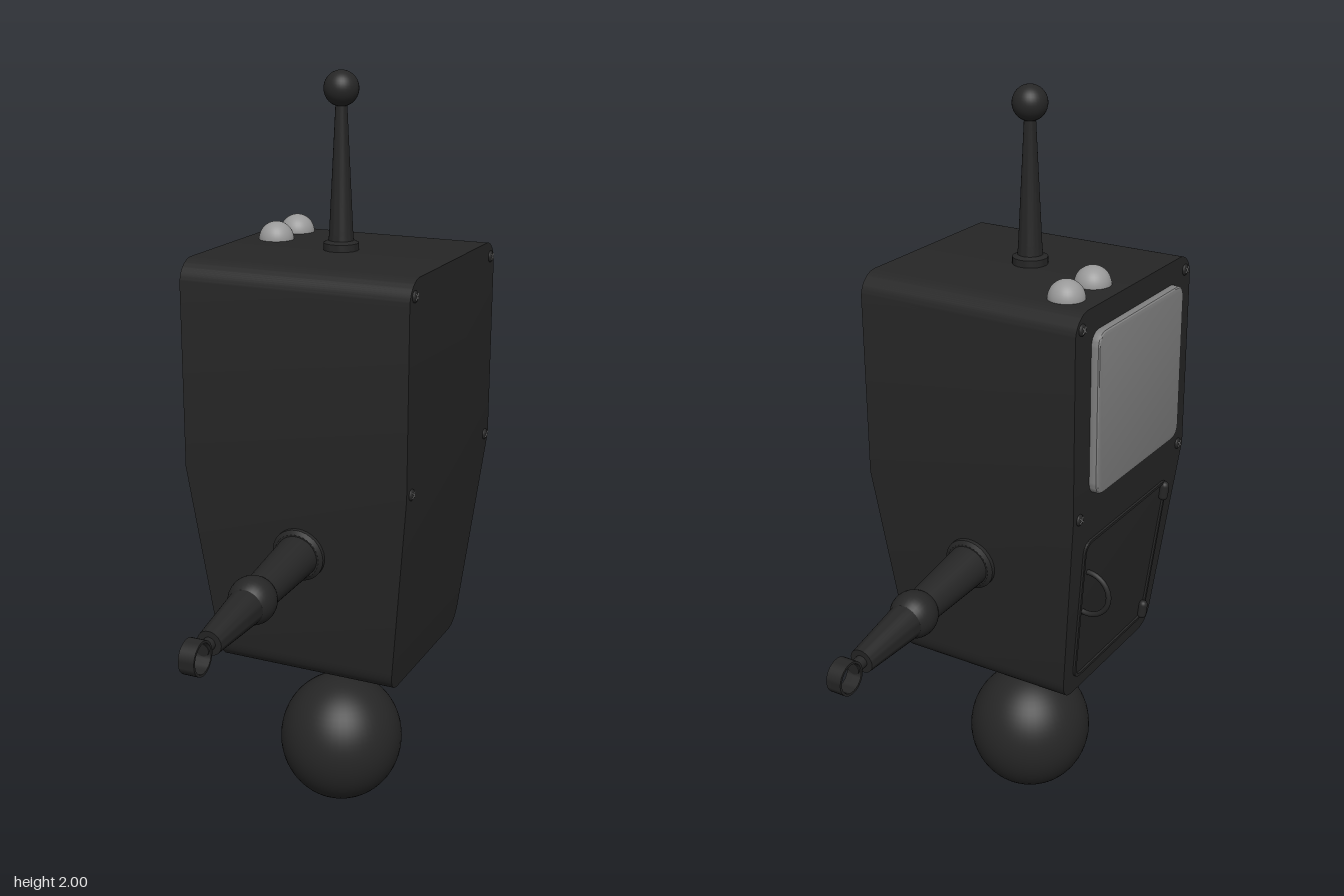
import * as THREE from 'three';
import { toCreasedNormals } from 'three/addons/utils/BufferGeometryUtils.js';

const dark = new THREE.MeshStandardMaterial({ color: 0x262626 });
const darkOpen = new THREE.MeshStandardMaterial({ color: 0x262626, side: THREE.DoubleSide });
const grey = new THREE.MeshStandardMaterial({ color: 0x808080 });
const pale = new THREE.MeshStandardMaterial({ color: 0x999999 });

const CX = 0.018;                      // body centre line
const BOTTOM = 0.475, WAIST = 1.03, TOP = 1.56;
const TILT = Math.atan(0.06 / (WAIST - BOTTOM));
// half width of the body at height y: straight above the waist, tapered below
const halfX = y => 0.243 + 0.06 * Math.min(1, (y - BOTTOM) / (WAIST - BOTTOM));

function add(parent, name, geometry, material, x = 0, y = 0, z = 0) {
  const mesh = new THREE.Mesh(geometry, material);
  mesh.name = name;
  mesh.position.set(x, y, z);
  parent.add(mesh);
  return mesh;
}

function lathe(points, segments = 32) {
  const g = new THREE.LatheGeometry(points.map(p => new THREE.Vector2(p[0], p[1])), segments);
  return toCreasedNormals(g, 0.6);
}

// rounded outline whose bottom may be narrower than its top
function panelShape(wBottom, wTop, h, r, Type = THREE.Shape) {
  const s = new Type();
  const corners = [[-wBottom, -h], [wBottom, -h], [wTop, h], [-wTop, h]].map(c => new THREE.Vector2(...c));
  corners.forEach((c, i) => {
    const a = c.clone().add(corners[(i + 3) % 4].clone().sub(c).setLength(r));
    const b = c.clone().add(corners[(i + 1) % 4].clone().sub(c).setLength(r));
    if (i === 0) s.moveTo(a.x, a.y); else s.lineTo(a.x, a.y);
    s.quadraticCurveTo(c.x, c.y, b.x, b.y);
  });
  s.closePath();
  return s;
}

// body shell: a half profile of (z, y) swept across the tapering width
function bodyGeometry() {
  const path = new THREE.Path();
  path.moveTo(0.185, BOTTOM);
  path.quadraticCurveTo(0.235, BOTTOM, 0.242, 0.535);
  path.lineTo(0.295, WAIST);
  path.lineTo(0.295, 1.5);
  path.absarc(0.235, 1.5, 0.06, 0, Math.PI / 2, false);
  const pts = path.getPoints(10);
  const pos = [];
  const quad = (...q) => {
    for (const s of [1, -1])           // second copy is turned half round
      for (const i of [0, 1, 2, 0, 2, 3]) pos.push(s * q[i][0], q[i][1], s * q[i][2]);
  };
  for (let i = 0; i < pts.length - 1; i++) {
    const { x: z0, y: y0 } = pts[i], { x: z1, y: y1 } = pts[i + 1];
    if (Math.hypot(z1 - z0, y1 - y0) < 1e-6) continue;
    const h0 = halfX(y0), h1 = halfX(y1);
    quad([-h0, y0, z0], [h0, y0, z0], [h1, y1, z1], [-h1, y1, z1]);
    quad([h0, y0, z0], [h0, y0, -z0], [h1, y1, -z1], [h1, y1, z1]);
  }
  const h = halfX(TOP), z = 0.235;
  quad([-h, TOP, z], [h, TOP, z], [h, TOP, 0], [-h, TOP, 0]);
  const g = new THREE.BufferGeometry();
  g.setAttribute('position', new THREE.Float32BufferAttribute(pos, 3));
  return toCreasedNormals(g, 0.35);
}

function makeScrew() {
  const screw = new THREE.Group();
  screw.name = 'screw';
  const head = add(screw, 'screwHead', new THREE.SphereGeometry(0.015, 16, 8), dark);
  head.scale.z = 0.5;
  for (const a of [1, -1]) {
    const slot = add(screw, 'screwSlot', new THREE.BoxGeometry(0.02, 0.003, 0.002), pale, 0, 0, 0.007);
    slot.rotation.z = a * Math.PI / 4;
  }
  return screw;
}

// arm along +y; turned to point sideways by the caller
function makeArm(name) {
  const arm = new THREE.Group();
  arm.name = name;
  add(arm, 'shoulderCollar', lathe([[0, 0.02], [0.07, 0], [0.07, 0.015], [0.06, 0.022], [0, 0.022]]), dark);
  add(arm, 'upperArm', new THREE.CylinderGeometry(0.043, 0.057, 0.26, 32), dark, 0, 0.13);
  add(arm, 'elbow', new THREE.SphereGeometry(0.06, 32, 20), dark, 0, 0.26);
  add(arm, 'forearm', lathe([[0, 0.28], [0.048, 0.28], [0.031, 0.473], [0, 0.473]]), dark);
  add(arm, 'wrist', new THREE.CylinderGeometry(0.016, 0.016, 0.04, 20), dark, 0, 0.485);
  const ring = lathe([[0.036, -0.02], [0.042, -0.02], [0.042, 0.02], [0.036, 0.02], [0.036, -0.02]]);
  add(arm, 'gripRing', ring, darkOpen, 0, 0.537).rotation.z = Math.PI / 2;
  return arm;
}

export function createModel() {
  const model = new THREE.Group();
  model.name = 'robot';

  // body with a dished socket underneath
  add(model, 'bodyShell', bodyGeometry(), dark, CX);
  const hw = halfX(BOTTOM);
  const base = new THREE.Shape([[-hw, -0.185], [hw, -0.185], [hw, 0.185], [-hw, 0.185]].map(p => new THREE.Vector2(...p)));
  base.holes.push(new THREE.Path().absarc(0, 0, 0.135, 0, Math.PI * 2, true));
  add(model, 'bodyBase', new THREE.ShapeGeometry(base, 24), dark, CX, BOTTOM).rotation.x = Math.PI / 2;
  const socket = add(model, 'socket', new THREE.SphereGeometry(0.135, 48, 12, 0, Math.PI * 2, 0, Math.PI / 2), darkOpen, CX, BOTTOM);
  socket.scale.y = 0.6;

  // floating ball wheel
  add(model, 'ballWheel', new THREE.SphereGeometry(0.17, 48, 32), dark, CX, 0.182).scale.y = 1.06;

  // corner screws on both flat faces
  for (const side of [1, -1]) for (const y of [1.52, 1.035]) for (const z of [0.265, -0.265]) {
    const screw = makeScrew();
    screw.position.set(CX + side * halfX(y), y, z);
    screw.rotation.y = side * Math.PI / 2;
    model.add(screw);
  }

  // display
  const display = new THREE.ExtrudeGeometry(panelShape(0.212, 0.212, 0.202, 0.03), {
    depth: 0.014, bevelThickness: 0.008, bevelSize: 0.008, bevelSegments: 3, curveSegments: 8,
  });
  add(model, 'display', toCreasedNormals(display, 0.5), grey, CX - halfX(TOP), 1.29, 0).rotation.y = -Math.PI / 2;

  // access door lying on the tapered face
  const door = new THREE.Group();
  door.name = 'accessDoor';
  door.position.set(CX - halfX(0.735), 0.735, 0);
  door.rotation.set(TILT, -Math.PI / 2, 0, 'YXZ');
  model.add(door);
  const rim = panelShape(0.195, 0.225, 0.215, 0.035);
  rim.holes.push(panelShape(0.187, 0.217, 0.207, 0.03, THREE.Path));
  add(door, 'doorRim', new THREE.ExtrudeGeometry(rim, { depth: 0.006, bevelEnabled: false, curveSegments: 8 }), dark);
  add(door, 'doorHandle', new THREE.TorusGeometry(0.06, 0.007, 12, 40), dark, -0.185, 0.055, 0.008).rotation.y = Math.PI / 2;
  for (const s of [1, -1])
    add(door, 'doorHinge', new THREE.CapsuleGeometry(0.013, 0.03, 6, 16), dark, 0.19 + s * 0.012, s * 0.185, 0.008);

  // arms
  for (const side of [1, -1]) {
    const arm = makeArm(side > 0 ? 'frontArm' : 'backArm');
    arm.position.set(0.025, 0.836, side * 0.27);
    arm.rotation.x = side * (Math.PI / 2 + 0.093);
    model.add(arm);
  }

  // antenna
  const antenna = lathe([[0, 0], [0.045, 0], [0.045, 0.018], [0.032, 0.024], [0.03, 0.05], [0.014, 0.37], [0, 0.37]]);
  add(model, 'antennaMast', antenna, dark, 0.015, TOP);
  add(model, 'antennaBall', new THREE.SphereGeometry(0.044, 32, 20), dark, 0.015, 1.956);

  // lamps
  for (const z of [-0.19, -0.065])
    add(model, 'lamp', new THREE.SphereGeometry(0.046, 32, 20), pale, -0.2, TOP, z);

  return model;
}
